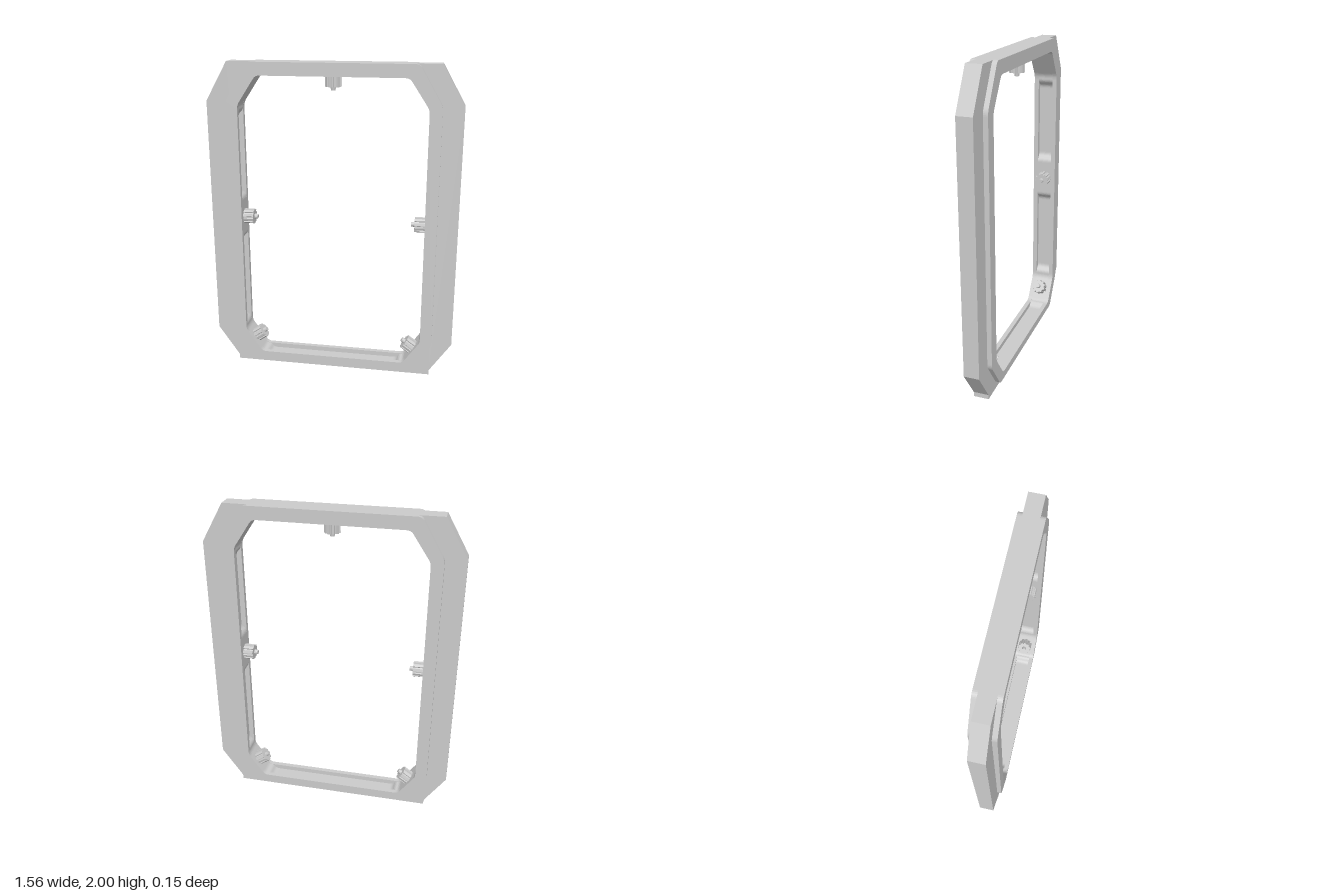
import * as THREE from 'three';

const material = new THREE.MeshStandardMaterial({ color: 0xcccccc, flatShading: true });
const PLATE_Z = 0.048; // half thickness of the outer plate
const RING_Z = 0.077; // half thickness of the raised inner rim

// Complete a right-half outline (bottom to top) with its mirror image
const mirrored = (half) => [...half, ...half.slice().reverse().map(([x, y]) => [-x, y])];

// Closed path through the points, each corner softened by radius r
function trace(path, points, r) {
  const v = points.map(([x, y]) => new THREE.Vector2(x, y));
  v.forEach((p, i) => {
    const prev = v[(i + v.length - 1) % v.length];
    const next = v[(i + 1) % v.length];
    const toward = (q) => p.clone().lerp(q, Math.min(0.45, r / p.distanceTo(q)));
    const a = toward(prev), b = toward(next);
    if (i === 0) path.moveTo(a.x, a.y);
    else path.lineTo(a.x, a.y);
    if (r > 0) path.quadraticCurveTo(p.x, p.y, b.x, b.y);
  });
  path.closePath();
  return path;
}

function frameLayer(name, outer, outerR, inner, innerR, z0, z1) {
  const shape = trace(new THREE.Shape(), outer, outerR);
  shape.holes.push(trace(new THREE.Path(), inner, innerR));
  const geo = new THREE.ExtrudeGeometry(shape, { depth: z1 - z0, bevelEnabled: false, curveSegments: 5 });
  geo.translate(0, 0, z0);
  const mesh = new THREE.Mesh(geo, material);
  mesh.name = name;
  return mesh;
}

// Fluted knob with a small pin, standing on its base along +y
function makeStud(name, x, y, dx, dy) {
  const stud = new THREE.Group();
  stud.name = name;
  const shape = new THREE.Shape();
  const teeth = 10;
  for (let i = 0; i < teeth; i++) {
    [[-0.3, 0.048], [0.2, 0.048], [0.3, 0.041], [0.6, 0.041]].forEach(([o, r], k) => {
      const a = ((i + o) / teeth) * Math.PI * 2;
      if (i + k === 0) shape.moveTo(r * Math.cos(a), r * Math.sin(a));
      else shape.lineTo(r * Math.cos(a), r * Math.sin(a));
    });
  }
  shape.closePath();
  const bodyGeo = new THREE.ExtrudeGeometry(shape, { depth: 0.075, bevelEnabled: false });
  bodyGeo.rotateX(-Math.PI / 2).translate(0, -0.01, 0);
  const body = new THREE.Mesh(bodyGeo, material);
  body.name = 'flutedBody';
  const pin = new THREE.Mesh(new THREE.CylinderGeometry(0.014, 0.017, 0.03, 12), material);
  pin.name = 'pin';
  pin.position.y = 0.072;
  stud.add(body, pin);
  stud.position.set(x, y, 0);
  stud.quaternion.setFromUnitVectors(new THREE.Vector3(0, 1, 0), new THREE.Vector3(dx, dy, 0).normalize());
  return stud;
}

export function createModel() {
  const model = new THREE.Group();
  model.name = 'frame';

  const plateOuter = mirrored([[0.645, 0], [0.645, 0.03], [0.782, 0.23], [0.782, 1.76], [0.645, 2]]);
  const rimOuter = mirrored([[0.52, 0.037], [0.655, 0.23], [0.655, 1.76], [0.515, 2]]);
  const opening = mirrored([[0.47, 0.085], [0.58, 0.24], [0.58, 1.74], [0.46, 1.92]]);

  // Opening of the middle layer, with pockets cut into the inner walls
  const pocketed = mirrored([
    [0.42, 0.055], [0.445, 0.085], [0.47, 0.085], [0.58, 0.24],
    [0.58, 0.28], [0.612, 0.31], [0.612, 0.86], [0.58, 0.89],
    [0.58, 1.15], [0.612, 1.18], [0.612, 1.67], [0.58, 1.7],
    [0.58, 1.74], [0.46, 1.92], [0.43, 1.92], [0.4, 1.952],
    [0.12, 1.952], [0.09, 1.92],
  ]);

  model.add(
    frameLayer('outerPlate', plateOuter, 0, pocketed, 0.02, -PLATE_Z, PLATE_Z),
    frameLayer('frontRim', rimOuter, 0.025, opening, 0.025, PLATE_Z, RING_Z),
    frameLayer('backRim', rimOuter, 0.025, opening, 0.025, -RING_Z, -PLATE_Z),
  );

  // Studs pointing into the opening
  model.add(makeStud('topStud', 0, 1.92, 0, -1));
  for (const [side, s] of [['left', 1], ['right', -1]]) {
    model.add(
      makeStud(side + 'Stud', s * 0.58, 1.018, -s, 0),
      makeStud(side + 'LowerStud', s * 0.53, 0.167, -s * 0.815, 0.58),
    );
  }
  return model;
}
